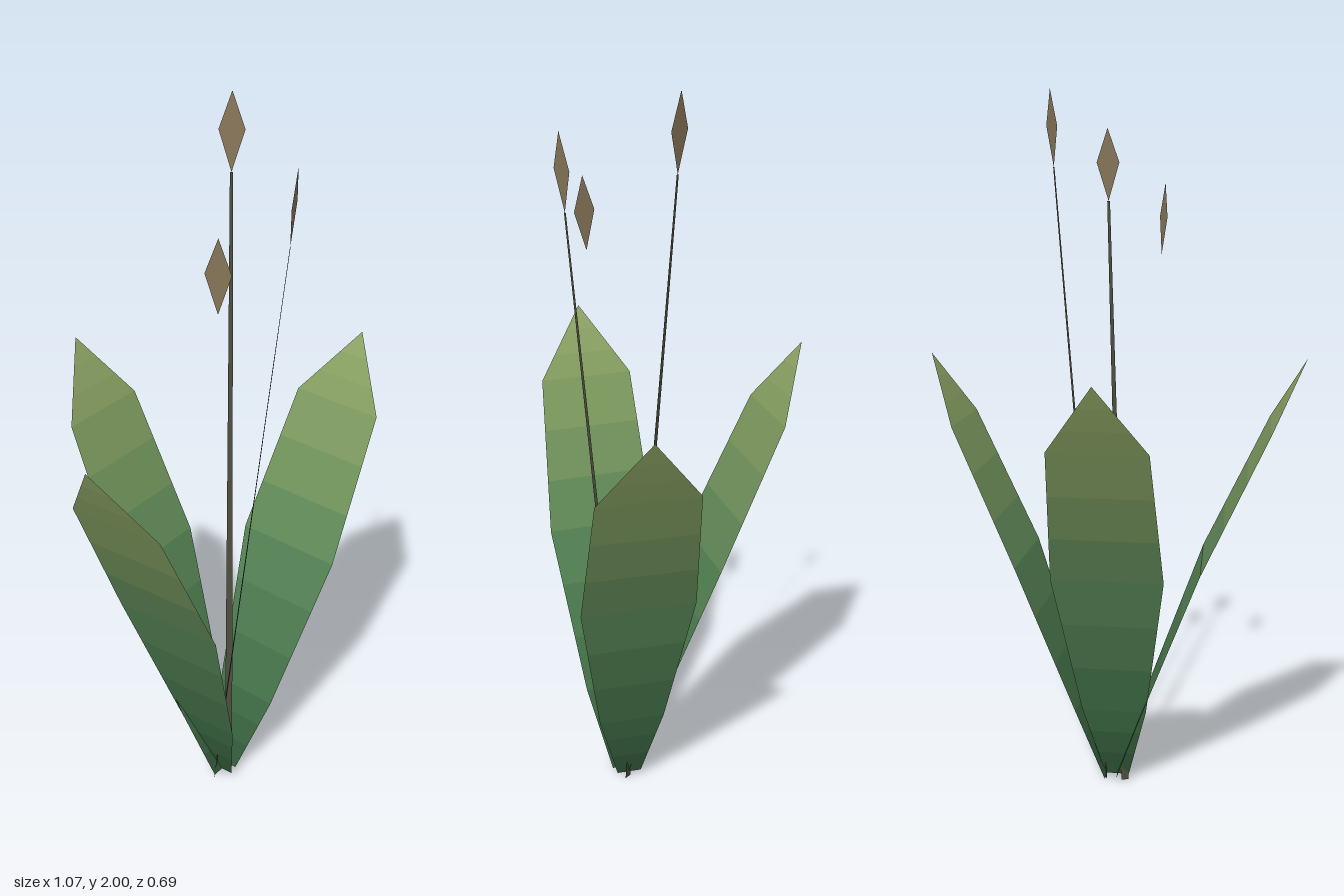
import * as THREE from 'three';

// Blade profile: outward reach, height, half width
const PROFILE = [
  [0, 0.015, 0.035],
  [0.078, 0.25, 0.093],
  [0.243, 0.7, 0.156],
  [0.428, 1.1, 0.134],
  [0.523, 1.29, 0],
];
// Blade colours from the base to the tip
const GREENS = [0x2f5638, 0x3f6e46, 0x588656, 0x849e60, 0x92a868].map((c) => new THREE.Color(c));
const STEPS = 3;

function mesh(name, points, index, color) {
  const geometry = new THREE.BufferGeometry();
  geometry.setAttribute('position', new THREE.Float32BufferAttribute(points.flatMap((p) => p.toArray()), 3));
  geometry.setIndex(index);
  geometry.computeVertexNormals();
  const m = new THREE.Mesh(geometry, new THREE.MeshStandardMaterial({ color, side: THREE.DoubleSide }));
  m.name = name;
  return m;
}

// Flat four-cornered strip between two cross-sections
function strip(name, a, b, across, wa, wb, color) {
  const edge = (p, w) => p.clone().addScaledVector(across, w);
  return mesh(name, [edge(a, -wa), edge(a, wa), edge(b, wb), edge(b, -wb)], [0, 1, 2, 0, 2, 3], color);
}

// Leaf blade in short bands that lighten upwards
function leaf({ name, base, heading, across, height }) {
  const group = new THREE.Group();
  group.name = name;
  const dir = new THREE.Vector3(heading[0], 0, heading[1]).normalize();
  const side = new THREE.Vector3(across[0], 0, across[1]).normalize();
  const section = (i, t) => {
    const [r, y, w] = PROFILE[i].map((v, k) => THREE.MathUtils.lerp(v, PROFILE[i + 1][k], t));
    return [new THREE.Vector3(base[0], y * height, base[1]).addScaledVector(dir, r), w];
  };
  for (let i = 0; i < PROFILE.length - 1; i++) {
    for (let s = 0; s < STEPS; s++) {
      const [a, wa] = section(i, s / STEPS);
      const [b, wb] = section(i, (s + 1) / STEPS);
      const color = GREENS[i].clone().lerp(GREENS[i + 1], (s + 0.5) / STEPS);
      group.add(strip('leafBand', a, b, side, wa, wb, color));
    }
  }
  return group;
}

// Thin seed head, a flat diamond, with an optional ribbon stem below it
function stalk({ name, foot, bottom, top, across, half }) {
  const group = new THREE.Group();
  group.name = name;
  const side = new THREE.Vector3(across[0], 0, across[1]).normalize();
  const low = new THREE.Vector3(...bottom);
  const high = new THREE.Vector3(...top);
  const middle = low.clone().lerp(high, 0.53);
  const left = middle.clone().addScaledVector(side, -half);
  const right = middle.clone().addScaledVector(side, half);
  group.add(mesh('seedHead', [low, right, high, left], [0, 1, 2, 0, 2, 3], 0x88775a));
  if (foot) {
    group.add(strip('stem', new THREE.Vector3(...foot), low, side, 0.011, 0.004, 0x4b4d3c));
  }
  return group;
}

export function createModel() {
  const plant = new THREE.Group();
  plant.name = 'plant';

  // Three broad leaves spreading from one base
  [
    { name: 'backLeaf', base: [-0.02, 0.18], heading: [-0.055, -0.515], across: [0.3, -0.035], height: 1 },
    { name: 'leftLeaf', base: [0.01, 0.17], heading: [0.52, 0.005], across: [0.02, 0.3], height: 0.985 },
    { name: 'rightLeaf', base: [-0.02, 0.18], heading: [-0.52, 0.035], across: [0.045, 0.305], height: 1 },
  ].forEach((l) => plant.add(leaf(l)));

  // Three seed heads, two of them on stems
  [
    { name: 'tallStalk', foot: [0.015, 0, 0.175], bottom: [0.125, 1.8, 0.043], top: [0.132, 2, 0.035], across: [0.04, 0.045], half: 0.033 },
    { name: 'frontStalk', foot: [-0.045, 0, 0.175], bottom: [0.042, 1.7, 0.31], top: [0.048, 1.9, 0.32], across: [0.055, -0.03], half: 0.033 },
    { name: 'lowSeedHead', bottom: [-0.127, 1.56, 0.238], top: [-0.135, 1.755, 0.243], across: [0.033, 0.058], half: 0.033 },
  ].forEach((s) => plant.add(stalk(s)));

  return plant;
}
